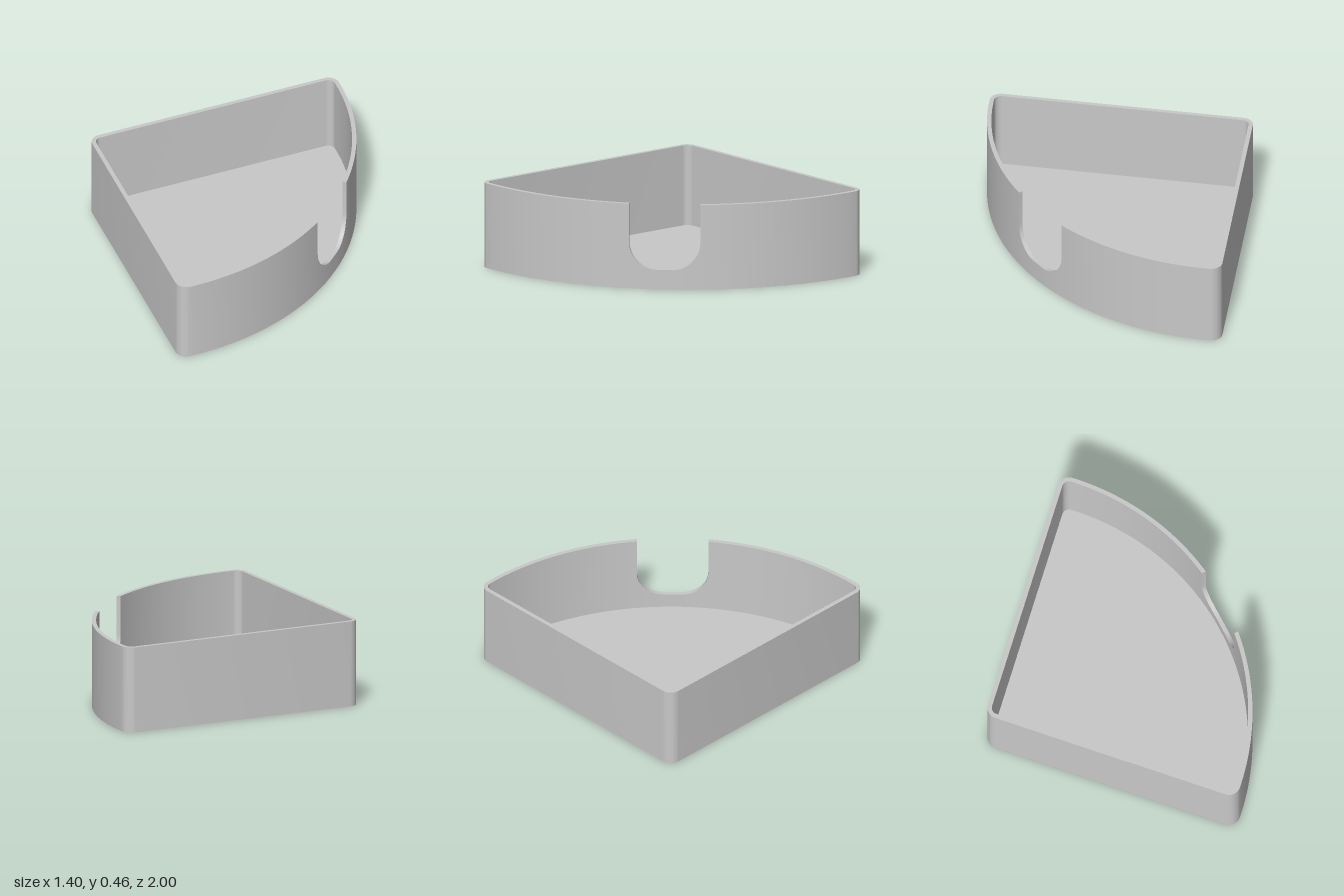
import * as THREE from 'three';
import { toCreasedNormals } from 'three/addons/utils/BufferGeometryUtils.js';

const HEIGHT = 0.462, FLOOR = 0.026, WALL = 0.023;
const FILLET = 0.06;                       // corner radius
const APEX_X = -0.6415, TIP_X = 0.254, TIP_Z = 0.94; // corner centres
const ARC_X = -0.6924, ARC_R = 1.3939;     // curved side
const NOTCH = { half: 0.19, bottom: 0.107, radius: 0.145 };

// Outline samples: matching outer and inner points plus the wall height there
function outline() {
  const points = [];
  const add = (cx, cz, r, angle, h = HEIGHT) => {
    const at = (k) => [cx + k * Math.cos(angle), cz + k * Math.sin(angle)];
    points.push({ outer: at(r), inner: at(r - WALL), h });
  };
  const sweep = (cx, cz, r, from, to, n) => {
    for (let i = 0; i <= n; i++) add(cx, cz, r, from + (to - from) * i / n);
  };
  const addNotch = (z, h) => {
    const at = (r) => [ARC_X + Math.sqrt(r * r - z * z), z];
    points.push({ outer: at(ARC_R), inner: at(ARC_R - WALL), h });
  };
  const side = Math.atan2(TIP_Z, TIP_X - APEX_X) + Math.PI / 2;
  const beta = Math.asin(TIP_Z / (ARC_R - FILLET));
  const gap = Math.asin(NOTCH.half / ARC_R) + 0.02;

  sweep(APEX_X, 0, FILLET, side, 2 * Math.PI - side, 40);
  sweep(TIP_X, -TIP_Z, FILLET, -side, -beta, 40);
  sweep(ARC_X, 0, ARC_R, -beta + 0.03, -gap, 24);
  // Rounded finger notch, cut straight through along x
  const { half, bottom, radius } = NOTCH;
  addNotch(-half, HEIGHT);
  for (const s of [-1, 1]) {
    for (let i = 0; i <= 12; i++) {
      const a = (s < 0 ? i : 12 - i) / 12 * Math.PI / 2;
      addNotch(s * (half - radius + radius * Math.cos(a)), bottom + radius * (1 - Math.sin(a)));
    }
  }
  addNotch(half, HEIGHT);
  sweep(ARC_X, 0, ARC_R, gap, beta - 0.03, 24);
  sweep(TIP_X, TIP_Z, FILLET, beta, side, 40);
  return points;
}

function toGeometry(triangles) {
  const geometry = new THREE.BufferGeometry();
  geometry.setAttribute('position', new THREE.Float32BufferAttribute(triangles.flat(), 3));
  return toCreasedNormals(geometry, 0.5);
}

// Outer face, inner face and rim of the wall
function wallGeometry(points) {
  const tris = [];
  const quad = (a, b, c, d) => tris.push(a, b, c, a, c, d);
  points.forEach((p, i) => {
    const q = points[(i + 1) % points.length];
    const v = ([x, z], y) => [x, y, z];
    if (Math.hypot(p.outer[0] - q.outer[0], p.outer[1] - q.outer[1]) > 1e-6) {
      quad(v(p.outer, 0), v(p.outer, p.h), v(q.outer, q.h), v(q.outer, 0));
      quad(v(p.inner, FLOOR), v(q.inner, FLOOR), v(q.inner, q.h), v(p.inner, p.h));
    }
    quad(v(p.outer, p.h), v(p.inner, p.h), v(q.inner, q.h), v(q.outer, q.h));
  });
  return toGeometry(tris);
}

// Flat fan filling one of the outlines
function plateGeometry(points, key, y, up) {
  const tris = [];
  points.forEach((p, i) => {
    const a = p[key], b = points[(i + 1) % points.length][key];
    if (Math.hypot(a[0] - b[0], a[1] - b[1]) < 1e-6) return;
    const [s, t] = up ? [b, a] : [a, b];
    tris.push([0.1, y, 0], [s[0], y, s[1]], [t[0], y, t[1]]);
  });
  return toGeometry(tris);
}

export function createModel() {
  const group = new THREE.Group();
  group.name = 'wedgeTray';
  const grey = new THREE.MeshStandardMaterial({ color: 0xc8c8c8 });
  grey.name = 'grey';
  const add = (name, geometry) => {
    const mesh = new THREE.Mesh(geometry, grey);
    mesh.name = name;
    group.add(mesh);
  };
  const points = outline();
  add('wall', wallGeometry(points));
  add('floor', plateGeometry(points, 'inner', FLOOR, true));
  add('underside', plateGeometry(points, 'outer', 0, false));
  return group;
}
